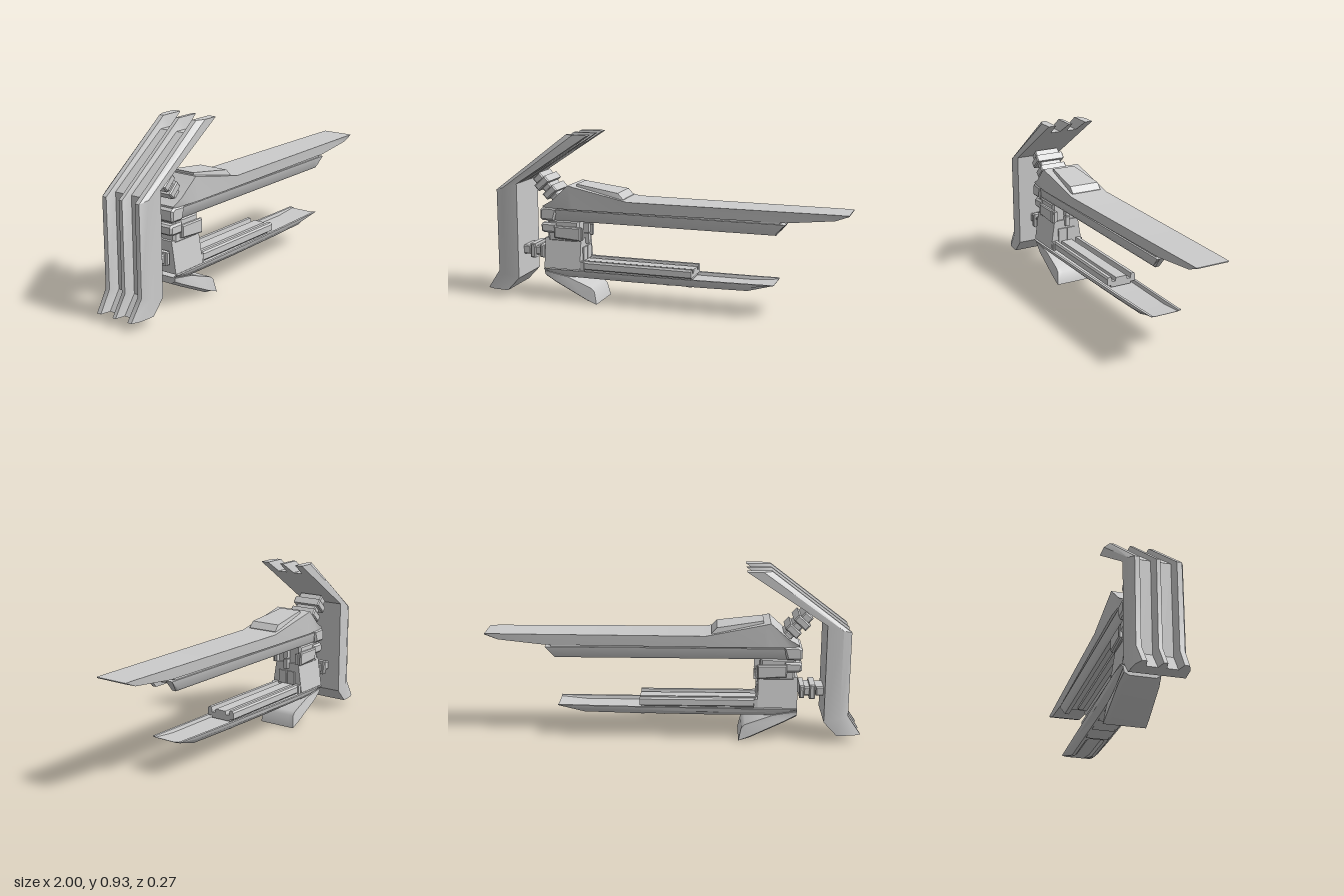
import * as THREE from 'three';
import { toCreasedNormals } from 'three/addons/utils/BufferGeometryUtils.js';

const material = new THREE.MeshStandardMaterial({ color: 0xcccccc, side: THREE.DoubleSide });

function add(group, name, geometry, x = 0, y = 0, z = 0) {
  const mesh = new THREE.Mesh(geometry, material);
  mesh.name = name;
  mesh.position.set(x, y, z);
  group.add(mesh);
  return mesh;
}

// Skin stations, each a row of [topPoint, bottomPoint] columns across z; closed at both ends
function skin(stations) {
  const n = stations[0].length, pos = [];
  const rings = stations.map(s => [...s.map(c => c[0]), ...s.map(c => c[1]).reverse()]);
  const quad = (a, b, c, d) => pos.push(...a, ...b, ...c, ...a, ...c, ...d);
  for (let s = 0; s + 1 < rings.length; s++) {
    const A = rings[s], B = rings[s + 1];
    for (let i = 0; i < 2 * n; i++) {
      const j = (i + 1) % (2 * n);
      quad(A[i], B[i], B[j], A[j]);
    }
  }
  const first = rings[0], last = rings[rings.length - 1];
  for (let i = 0; i < n - 1; i++) {
    const k = 2 * n - 1 - i;
    quad(first[i], first[i + 1], first[k - 1], first[k]);
    quad(last[i], last[k], last[k - 1], last[i + 1]);
  }
  const g = new THREE.BufferGeometry();
  g.setAttribute('position', new THREE.Float32BufferAttribute(pos, 3));
  return toCreasedNormals(g, 0.6);
}

// Mirror half a row of columns (listed from the -z edge towards the middle)
const mirror = half => [...half, ...half.slice().reverse().map(c => c.map(p => [p[0], p[1], -p[2]]))];

// Section of a beam at x: columns [zTop, yTop, zBottom, yBottom], optional x shift of the bottom
const section = (x, cols, shift = 0) =>
  mirror(cols.map(([zt, yt, zb, yb]) => [[x, yt, -zt], [x + shift, yb, -zb]]));

// Side outline extruded across z with a bevelled edge
function slab(points, halfWidth, bevel = 0.01) {
  const g = new THREE.ExtrudeGeometry(new THREE.Shape(points.map(p => new THREE.Vector2(...p))), {
    depth: 2 * (halfWidth - bevel), bevelEnabled: bevel > 0, bevelThickness: bevel,
    bevelSize: bevel, bevelOffset: -bevel, bevelSegments: 1,
  });
  return toCreasedNormals(g.translate(0, 0, bevel - halfWidth), 0.5);
}

const box = (w, h, d) => new THREE.BoxGeometry(w, h, d);

export function createModel() {
  const model = new THREE.Group();
  model.name = 'model';

  // Bent rear shield: three ridges with two long grooves, notched at the upper end
  const path = [ // outer x, y, inner x, y
    [-1, 0.045, -0.87, 0.045], [-0.93, 0.15, -0.8, 0.12],
    [-0.93, 0.61, -0.8, 0.65], [-0.51, 0.93, -0.38, 0.93],
  ];
  const ridges = [ // z, depth of the outer face, notch
    [0.135, 0.35, 0], [0.115, 0, 0], [0.09, 0, 0], [0.078, 0.4, 1], [0.022, 0.4, 1], [0.01, 0, 0],
  ];
  add(model, 'rearShield', skin(path.map(([ox, oy, ix, iy], s) => mirror(ridges.map(([z, t, notch]) => {
    const back = s === 3 ? notch : 0;
    const dx = -0.088 * back, dy = -0.06 * back;
    const w = s === 0 ? z * 0.95 : z;
    return [
      [ox + (ix - ox) * t + dx, oy + (iy - oy) * t + dy, -w],
      [ix + dx, iy + dy, -z],
    ];
  })))));

  // Upper connector: stepped collars tilted between shield and body
  const upper = new THREE.Group();
  upper.name = 'upperConnector';
  upper.position.set(-0.65, 0.625, 0);
  upper.rotation.z = -0.82;
  for (const [x, h, d] of [[-0.07, 0.055, 0.15], [-0.035, 0.085, 0.17], [0, 0.05, 0.13], [0.03, 0.08, 0.16], [0.07, 0.05, 0.13]])
    add(upper, 'upperCollar', slab([[-0.02, -h / 2], [0.02, -h / 2], [0.02, h / 2], [-0.02, h / 2]], d / 2, 0.006), x);
  model.add(upper);

  // Lower connector collars
  for (const [x, w, h, d] of [[-0.785, 0.05, 0.05, 0.12], [-0.74, 0.03, 0.08, 0.15], [-0.72, 0.05, 0.05, 0.12], [-0.685, 0.025, 0.07, 0.15]])
    add(model, 'lowerCollar', slab([[-w / 2, -h / 2], [w / 2, -h / 2], [w / 2, h / 2], [-w / 2, h / 2]], d / 2, 0.006), x, 0.268);

  // Long upper beam, humped at the rear and tapering to a sloped tip
  const beam = [ // x, half width, top, bottom
    [-0.665, 0.095, 0.53, 0.52], [-0.61, 0.1, 0.562, 0.52], [-0.51, 0.11, 0.652, 0.52],
    [-0.48, 0.11, 0.645, 0.52], [-0.17, 0.107, 0.581, 0.52], [0.68, 0.095, 0.58, 0.522],
    [0.93, 0.091, 0.58, 0.548], [1, 0.09, 0.579, 0.574],
  ];
  add(model, 'upperBeam', skin(beam.map(([x, w, top, bottom]) =>
    section(x, [[w, top, w * 0.95, bottom], [w * 0.7, top, w * 0.7, bottom]]))));

  // Raised cover on the hump
  add(model, 'humpCover', skin([
    section(-0.475, [[0.065, 0.656, 0.07, 0.63], [0.03, 0.656, 0.03, 0.63]]),
    section(-0.23, [[0.085, 0.622, 0.09, 0.585], [0.04, 0.622, 0.04, 0.585]]),
    section(-0.2, [[0.085, 0.59, 0.09, 0.575], [0.04, 0.59, 0.04, 0.575]]),
  ]));

  // Bar under the beam, with a channel below and a recessed front end
  add(model, 'beamSeam', box(1.3, 0.02, 0.17), 0.0, 0.515);
  const bar = (x, floor, shift) => section(x, [
    [0.095, 0.512, 0.085, 0.462], [0.08, 0.512, 0.075, 0.45],
    [0.052, 0.512, 0.052, 0.45], [0.048, 0.512, 0.048, floor],
  ], shift);
  add(model, 'underBar', skin([bar(-0.63, 0.47, 0), bar(0.6, 0.47, 0), bar(0.68, 0.49, -0.05)]));
  add(model, 'channelRib', box(1.1, 0.02, 0.03), 0, 0.464);

  // Rear block joining beam and post
  add(model, 'rearBlock', slab([[-0.68, 0.46], [-0.67, 0.45], [-0.6, 0.45], [-0.58, 0.52], [-0.66, 0.525], [-0.68, 0.51]], 0.1));
  add(model, 'rearBlock', slab([[-0.68, 0.39], [-0.665, 0.38], [-0.59, 0.38], [-0.59, 0.435], [-0.67, 0.435], [-0.68, 0.425]], 0.09));

  // Upright post, wider at the foot
  add(model, 'post', slab([[-0.645, 0.33], [-0.46, 0.33], [-0.46, 0.455], [-0.645, 0.455]], 0.08, 0.012));
  add(model, 'postFoot', skin([-0.66, -0.45].map(x => mirror([
    [[x, 0.35, -0.075], [x, 0.185, -0.1]], [[x, 0.35, -0.055], [x, 0.185, -0.055]],
  ]))));
  for (const side of [-1, 1]) {
    add(model, 'postPanel', slab([[-0.6, 0.355], [-0.445, 0.345], [-0.445, 0.42], [-0.6, 0.42]], 0.012, 0.006), 0, 0, side * 0.085);
    add(model, 'postClamp', box(0.03, 0.06, 0.02), -0.452, 0.38, side * 0.072);
    add(model, 'footClamp', box(0.03, 0.05, 0.015), -0.445, 0.205, side * 0.085);
    add(model, 'footPanel', box(0.015, 0.075, 0.05), -0.45, 0.265, side * 0.028);
  }
  for (const y of [0.345, 0.405]) add(model, 'postRib', box(0.04, 0.055, 0.025), -0.45, y);

  // Inner rail with raised rims and a middle strip
  const rail = x => section(x, [
    [0.085, 0.222, 0.085, 0.19], [0.078, 0.232, 0.078, 0.185], [0.06, 0.232, 0.06, 0.185], [0.056, 0.205, 0.056, 0.185],
    [0.036, 0.205, 0.036, 0.185], [0.032, 0.225, 0.032, 0.185],
  ]);
  add(model, 'innerRail', skin([rail(-0.47), rail(0.17), rail(0.18)]));

  // Lower rail: open trough on top, keeled below, pointed tip with a pocket underneath
  const trough = [ // x, half width, rim, keel, pocket height
    [-0.66, 0.11, 0.182, 0.155, 0], [-0.55, 0.11, 0.182, 0.138, 0], [-0.16, 0.104, 0.182, 0.135, 0],
    [0.2, 0.098, 0.183, 0.137, 0], [0.23, 0.098, 0.183, 0.137, 0.012], [0.48, 0.093, 0.185, 0.141, 0.012], [0.62, 0.09, 0.187, 0.18, 0],
  ];
  add(model, 'lowerRail', skin(trough.map(([x, w, rim, keel, pocket]) => {
    const floor = Math.max(rim - 0.018, keel + 0.002);
    return section(x, [
      [w, rim, w * 0.95, Math.min(keel + 0.025, rim - 0.004)], [w - 0.014, rim, w * 0.68, keel],
      [w - 0.018, floor, w * 0.5, keel], [0.03, floor, 0.035, keel + pocket],
    ]);
  })));
  add(model, 'railSeam', box(0.63, 0.016, 0.12), -0.14, 0.18);

  // Slanted slats under the lower rail
  for (let i = 0; i < 4; i++)
    add(model, 'underSlat', slab([[0, 0.14], [0.1, 0.14], [0.1, 0.131]], 0.06, 0), -0.3 + i * 0.125);

  // Swept hook below the post
  const hook = [ // x, y of the upper and lower edge, half widths
    [-0.66, 0.165, -0.66, 0.13, 0.095, 0.09], [-0.53, 0.14, -0.6, 0.1, 0.09, 0.1],
    [-0.385, 0.09, -0.41, 0.01, 0.1, 0.108], [-0.365, 0.07, -0.35, 0.002, 0.1, 0.11],
  ];
  add(model, 'hook', skin(hook.map(([ux, uy, lx, ly, wu, wl]) => mirror([
    [[ux, uy, -wu], [lx, ly + (lx > -0.36 ? 0 : 0.015), -wl]],
    [[ux, uy, -wu * 0.7], [lx, ly, -wl * 0.75]],
  ]))));
  return model;
}
